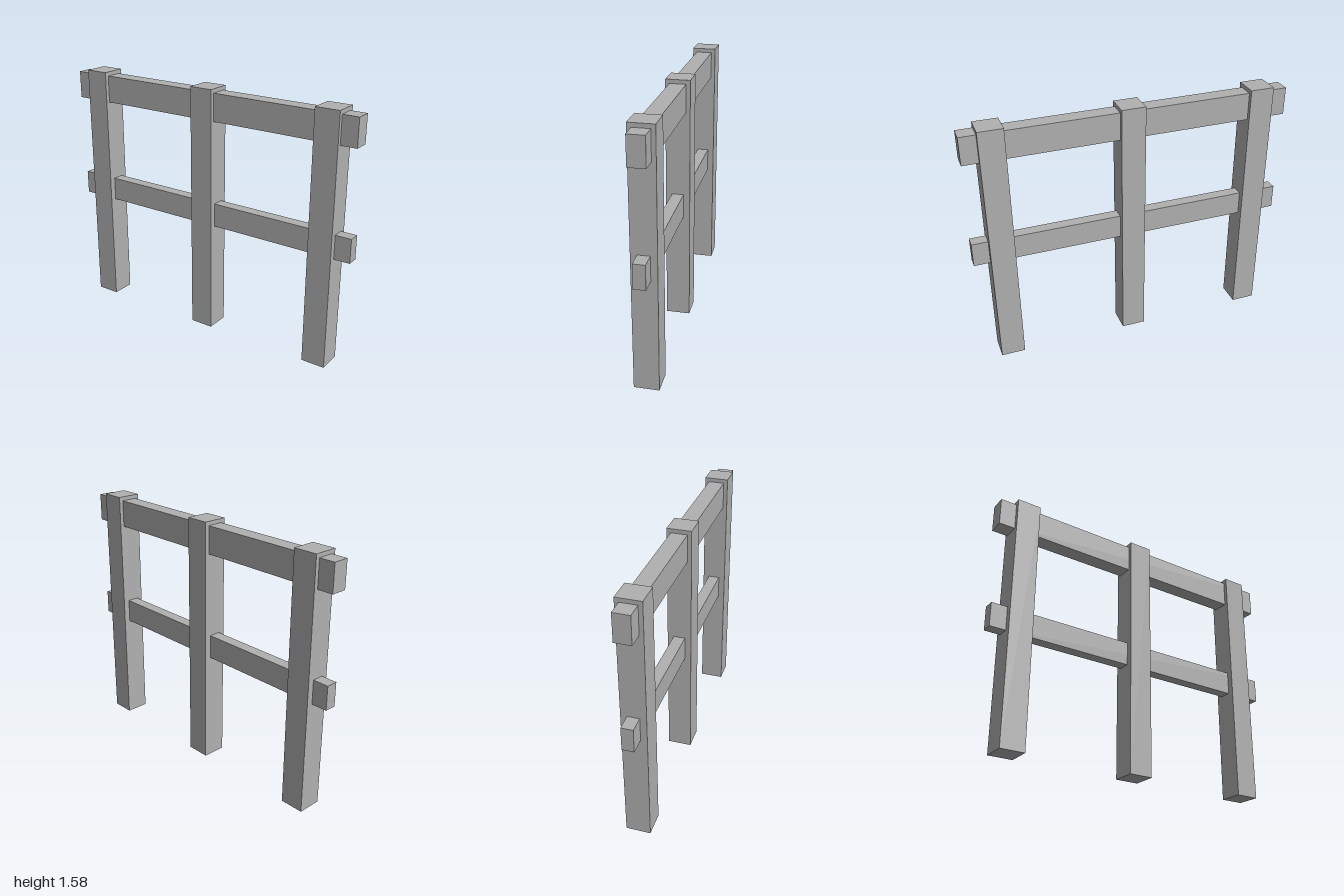
import * as THREE from 'three';

export function createModel() {
  const fence = new THREE.Group();
  fence.name = 'fence';
  const grey = new THREE.MeshStandardMaterial({ color: 0xb0b0b0 });
  grey.name = 'plain grey';

  // Box beam centred on z = 0, resting on height y0
  const beam = (name, width, height, depth, x, y0) => {
    const mesh = new THREE.Mesh(new THREE.BoxGeometry(width, height, depth), grey);
    mesh.name = name;
    mesh.position.set(x, y0 + height / 2, 0);
    fence.add(mesh);
  };

  // Three upright posts
  const posts = { rightPost: -0.825, middlePost: 0, leftPost: 0.825 };
  for (const [name, x] of Object.entries(posts)) beam(name, 0.15, 1.576, 0.15, x, 0);

  // Rails run through the posts and stick out at both ends
  beam('topRail', 2, 0.172, 0.1, 0, 1.379);
  beam('lowerRail', 2, 0.15, 0.072, 0, 0.702);

  return fence;
}
